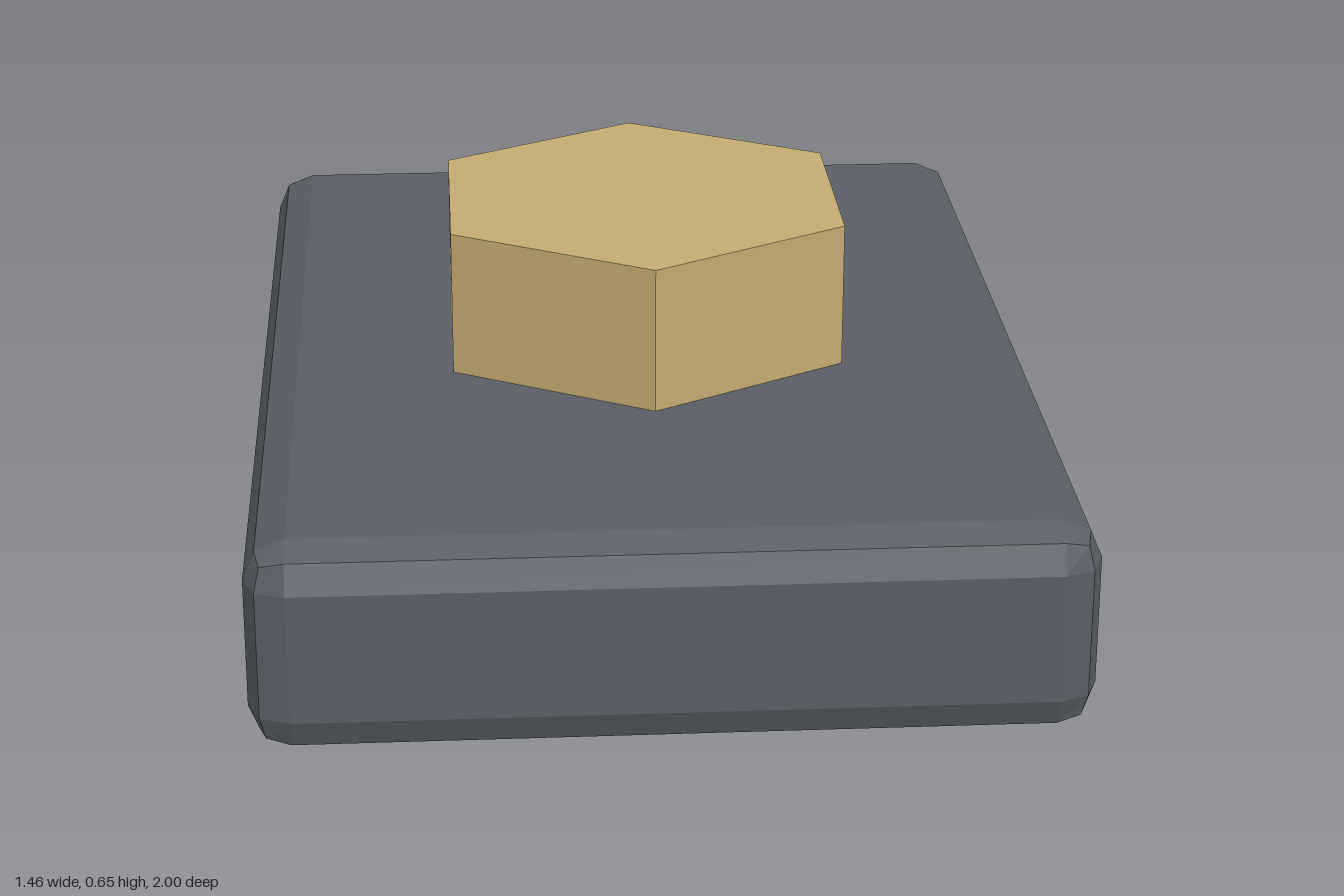
import * as THREE from 'three';
import { RoundedBoxGeometry } from 'three/addons/geometries/RoundedBoxGeometry.js';

export function createModel() {
  const slate = new THREE.MeshStandardMaterial({ name: 'slate grey', color: 0x5a5e65, flatShading: true });
  const brass = new THREE.MeshStandardMaterial({ name: 'brass', color: 0xc4ab72, flatShading: true });

  const baseHeight = 0.382;
  const knobHeight = 0.273;
  const model = new THREE.Group();
  model.name = 'hexKnobBlock';

  // Slab with two-facet bevels on every edge
  const base = new THREE.Mesh(new RoundedBoxGeometry(1.455, baseHeight, 2, 1, 0.073), slate);
  base.name = 'base';
  base.position.y = baseHeight / 2;

  // Hexagonal knob, corners pointing front and back
  const knob = new THREE.Mesh(new THREE.CylinderGeometry(0.42, 0.42, knobHeight, 6), brass);
  knob.name = 'hexKnob';
  knob.position.y = baseHeight + knobHeight / 2;

  model.add(base, knob);
  return model;
}
